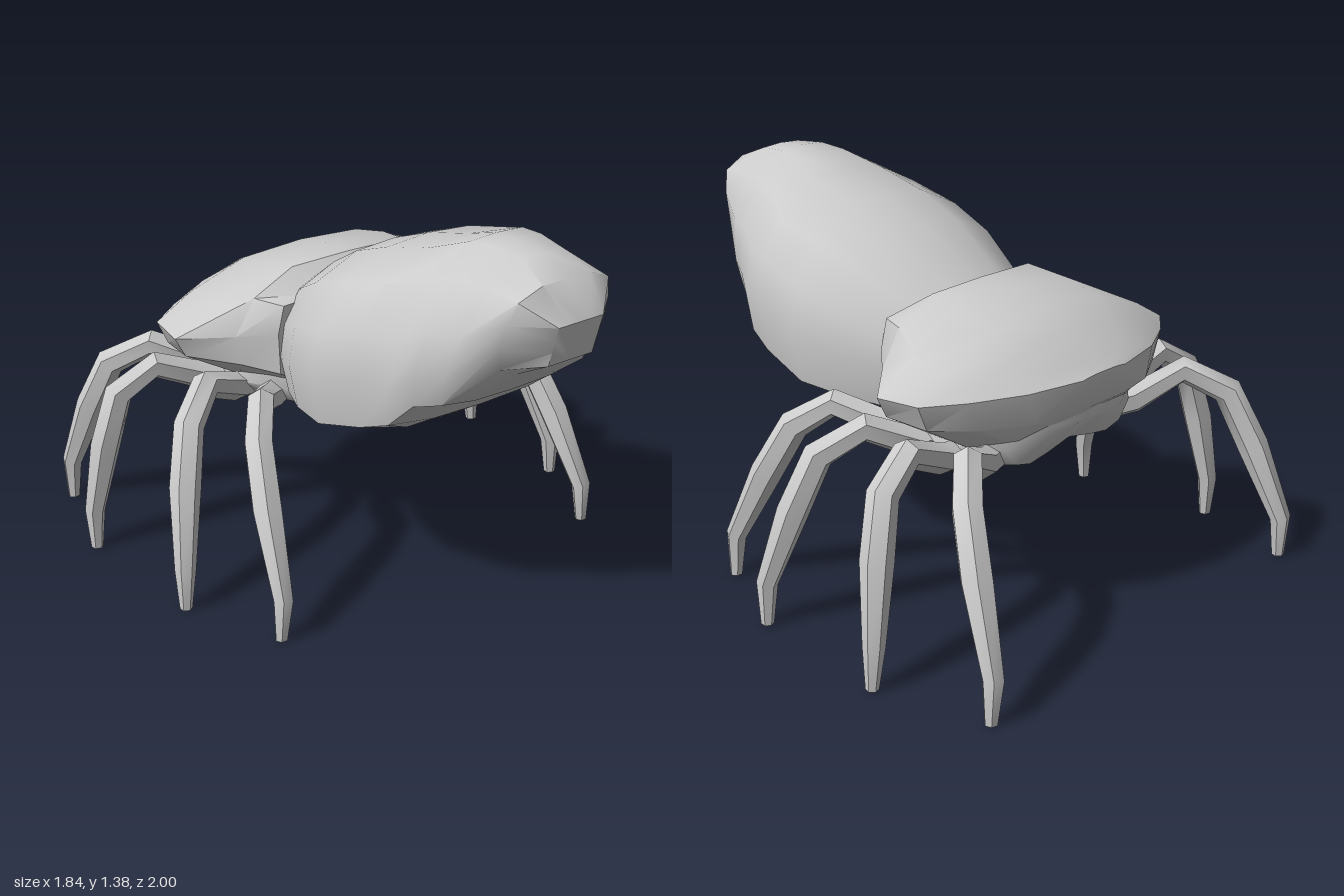
import * as THREE from 'three';
import { toCreasedNormals } from 'three/addons/utils/BufferGeometryUtils.js';

const material = new THREE.MeshStandardMaterial({ color: 0xcccccc });

// Skin a list of closed rings (equal point counts) and cap both ends.
function loft(name, rings, crease) {
  const n = rings[0].length, pos = [], idx = [];
  rings.forEach((r) => r.forEach((p) => pos.push(...p)));
  for (let i = 0; i < rings.length - 1; i++) {
    for (let j = 0; j < n; j++) {
      const a = i * n + j, b = i * n + (j + 1) % n;
      idx.push(a, b, a + n, b, b + n, a + n);
    }
  }
  const last = (rings.length - 1) * n;
  for (let j = 1; j < n - 1; j++) {
    idx.push(0, j + 1, j, last, last + j, last + j + 1);
  }
  // Turn the faces outward if the signed volume is negative
  const v = (k) => new THREE.Vector3().fromArray(pos, k * 3);
  let volume = 0;
  for (let k = 0; k < idx.length; k += 3) {
    volume += v(idx[k]).dot(v(idx[k + 1]).cross(v(idx[k + 2])));
  }
  if (volume < 0) idx.reverse();
  const g = new THREE.BufferGeometry();
  g.setAttribute('position', new THREE.Float32BufferAttribute(pos, 3));
  g.setIndex(idx);
  const mesh = new THREE.Mesh(toCreasedNormals(g, crease), material);
  mesh.name = name;
  return mesh;
}

// Mirror a half section (centre to centre, x >= 0) into a full ring.
const mirrorRing = (half) => [
  ...half,
  ...half.slice(1, -1).reverse().map(([x, y, z]) => [-x, y, z]),
];

// Abdomen: rounded sections with a flat belly, a narrower humped end and a square snout
function makeAbdomen() {
  const round = [[0, 0], [0.5, 0.01], [0.93, 0.1], [1, 0.38], [0.94, 0.62], [0.74, 0.85], [0.36, 0.98], [0, 1]];
  const hump = [[0, 0], [0.5, 0.01], [0.96, 0.06], [1, 0.26], [0.9, 0.54], [0.61, 0.83], [0.27, 0.99], [0, 1]];
  const head = [[0, 0], [0.5, 0.02], [0.88, 0.14], [1, 0.4], [0.97, 0.65], [0.85, 0.88], [0.45, 1], [0, 1]];
  const square = [[0, 0], [0.5, 0], [1, 0], [1, 0.35], [1, 0.65], [1, 1], [0.5, 1], [0, 1]];
  // section, z at belly, z at back, half width, belly y, back y
  const rows = [
    [round, -0.2, -0.2, 0.3, 0.66, 1.03],
    [round, -0.08, -0.1, 0.37, 0.61, 1.1],
    [round, 0.07, 0.07, 0.44, 0.62, 1.2],
    [round, 0.24, 0.26, 0.475, 0.63, 1.275],
    [round, 0.44, 0.46, 0.45, 0.69, 1.33],
    [hump, 0.55, 0.6, 0.405, 0.76, 1.375],
    [hump, 0.62, 0.7, 0.36, 0.845, 1.385],
    [hump, 0.7, 0.82, 0.31, 0.87, 1.375],
    [head, 0.84, 0.93, 0.215, 1.0, 1.325],
    [square, 0.96, 1.0, 0.09, 1.07, 1.21],
  ];
  return loft('abdomen', rows.map(([shape, zb, zt, w, yb, yt]) =>
    mirrorRing(shape.map(([fx, fy]) => [fx * w, yb + (yt - yb) * fy, zb + (zt - zb) * fy]))), 0.7);
}

// Carapace: domed shield with a sharp rim flaring out behind the waist
function makeCarapace() {
  // z, then half section from the back's centre, round the rim, to the underside
  const rows = [
    [-0.09, [0, 0.99], [0.2, 0.99], [0.35, 0.98], [0.375, 0.88], [0.37, 0.73], [0.25, 0.66], [0, 0.65]],
    [-0.2, [0, 1.07], [0.24, 1.065], [0.4, 0.985], [0.48, 0.86], [0.46, 0.75], [0.3, 0.65], [0, 0.64]],
    [-0.34, [0, 1.06], [0.26, 1.045], [0.48, 0.94], [0.64, 0.845], [0.6, 0.77], [0.38, 0.64], [0, 0.62]],
    [-0.5, [0, 1.025], [0.25, 1.01], [0.48, 0.93], [0.62, 0.85], [0.58, 0.76], [0.38, 0.64], [0, 0.62]],
    [-0.6, [0, 0.975], [0.2, 0.965], [0.37, 0.915], [0.49, 0.855], [0.45, 0.75], [0.28, 0.65], [0, 0.63]],
    [-0.69, [0, 0.905], [0.14, 0.9], [0.25, 0.88], [0.32, 0.86], [0.29, 0.75], [0.18, 0.73], [0, 0.73]],
    [-0.74, [0, 0.868], [0.04, 0.868], [0.08, 0.866], [0.11, 0.862], [0.1, 0.855], [0.06, 0.85], [0, 0.85]],
  ];
  return loft('carapace', rows.map(([z, ...half]) => mirrorRing(half.map(([x, y]) => [x, y, z]))), 0.6);
}

// Sternum: shallow underside plate with a groove along the middle
function makeSternum() {
  const shape = [[0, 0.2], [0.35, 0.07], [0.62, 0], [0.85, 0.1], [1, 0.45], [0.95, 1], [0, 1]];
  // z, half width, underside y
  const rows = [[0, 0.2, 0.62], [-0.13, 0.32, 0.56], [-0.3, 0.41, 0.55], [-0.48, 0.41, 0.55], [-0.6, 0.32, 0.56], [-0.67, 0.2, 0.67]];
  return loft('sternum', rows.map(([z, w, yb]) =>
    mirrorRing(shape.map(([fx, fy]) => [fx * w, yb + (0.74 - yb) * fy, z]))), 0.8);
}

// Leg: six-sided tube through its joints, tapering to the foot
function makeLeg(name, joints, side) {
  const radii = [0.055, 0.053, 0.05, 0.053, 0.055, 0.037, 0.022];
  const pts = joints.map(([x, y, z]) => new THREE.Vector3(x * side, y, z));
  // Slight outward bow in the shin
  pts.splice(4, 0, pts[3].clone().lerp(pts[4], 0.45).add(new THREE.Vector3(0.008 * side, 0.01, 0)));
  const out = pts[6].clone().sub(pts[1]).setY(0).normalize();
  const across = new THREE.Vector3(-out.z, 0, out.x);
  const rings = pts.map((p, i) => {
    const a = pts[Math.max(i - 1, 0)], b = pts[Math.min(i + 1, pts.length - 1)];
    const dir = i === pts.length - 1 ? new THREE.Vector3(0, -1, 0) : b.clone().sub(a).normalize();
    const up = new THREE.Vector3().crossVectors(across, dir).normalize();
    return Array.from({ length: 6 }, (_, k) => {
      const t = (k + 0.5) * Math.PI / 3;
      return p.clone().addScaledVector(across, Math.cos(t) * radii[i])
        .addScaledVector(up, Math.sin(t) * radii[i]).toArray();
    });
  });
  return loft(name, rings, 0.75);
}

export function createModel() {
  const model = new THREE.Group();
  model.name = 'arachnid';
  model.add(makeAbdomen(), makeCarapace(), makeSternum());

  // Joints of each left leg: hip, thigh, knee, shin top, ankle, foot
  const legs = {
    frontLeg: [[0.24, 0.6, -0.27], [0.38, 0.615, -0.16], [0.51, 0.7, 0], [0.595, 0.615, 0.11], [0.67, 0.15, 0.352], [0.68, 0, 0.35]],
    secondLeg: [[0.26, 0.6, -0.36], [0.42, 0.615, -0.31], [0.59, 0.7, -0.23], [0.715, 0.615, -0.14], [0.835, 0.15, -0.005], [0.84, 0, -0.005]],
    thirdLeg: [[0.26, 0.6, -0.43], [0.46, 0.615, -0.45], [0.65, 0.7, -0.48], [0.785, 0.615, -0.51], [0.885, 0.15, -0.565], [0.89, 0, -0.56]],
    rearLeg: [[0.24, 0.6, -0.5], [0.4, 0.615, -0.57], [0.56, 0.7, -0.655], [0.68, 0.615, -0.765], [0.775, 0.15, -0.962], [0.78, 0, -0.96]],
  };
  for (const [name, joints] of Object.entries(legs)) {
    model.add(makeLeg(name + 'Left', joints, 1), makeLeg(name + 'Right', joints, -1));
  }
  return model;
}
